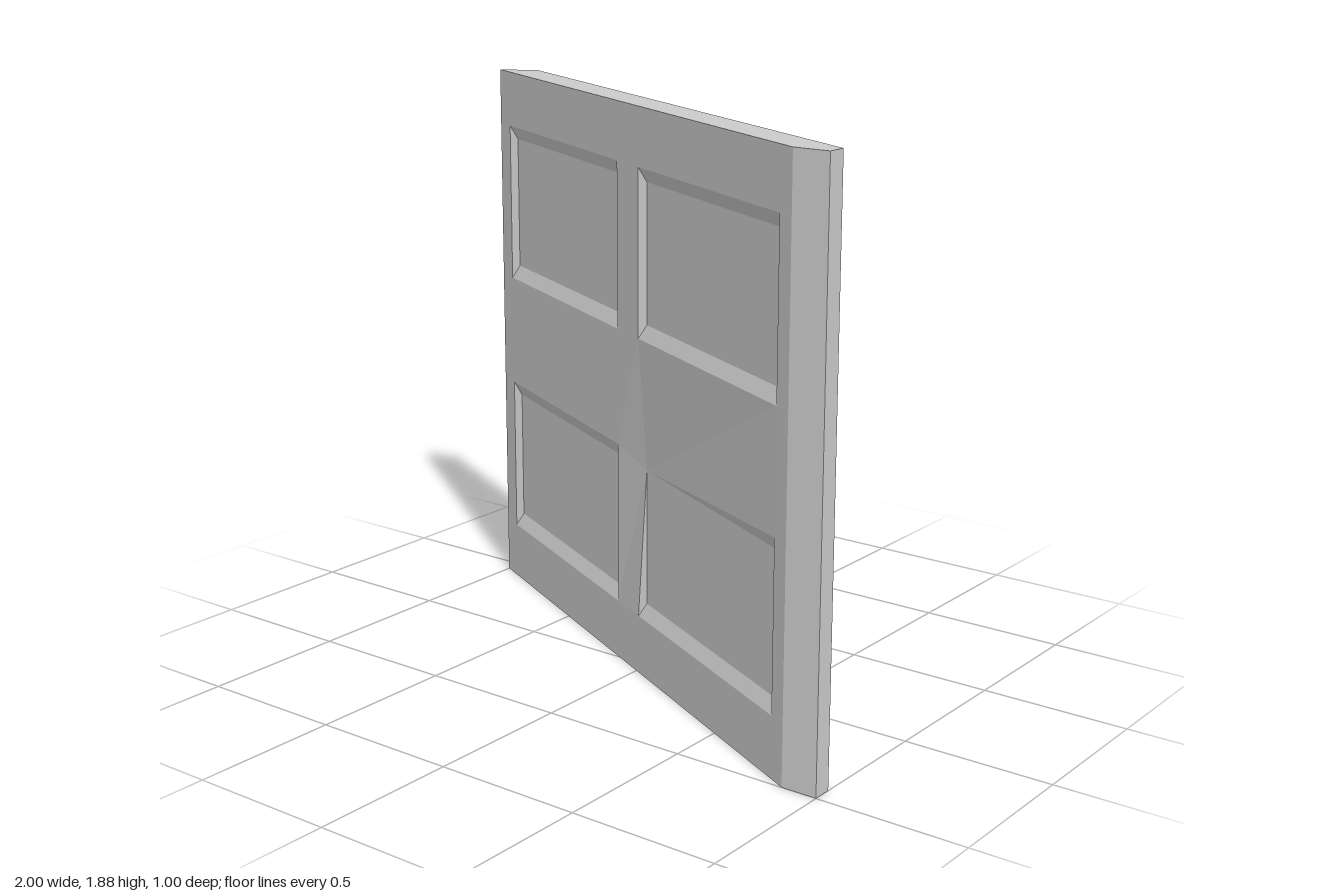
import * as THREE from 'three';

const HEIGHT = 1.88, DEPTH = 0.021, INSET_X = 0.018, INSET_Y = 0.046;
const YS = [0, 0.2, 0.75, 1.14, 1.69, HEIGHT];

// A point on the slanted front or back plane, sunk by d into the slab.
const frontPoint = (x, y, d = 0) => [x + 0.447 * d, y, 0.06 + 0.5 * x - 0.894 * d];
const backPoint = (x, y, d = 0) => [x - 0.447 * d, y, -0.065 + 0.5 * x + 0.894 * d];

// Flat-shaded mesh from a list of four-cornered faces.
function quadMesh(name, quads, flip = false) {
  const pos = [];
  for (const [a, b, c, d] of quads) {
    const tris = flip ? [a, c, b, a, d, c] : [a, b, c, a, c, d];
    for (const p of tris) pos.push(...p);
  }
  const geo = new THREE.BufferGeometry();
  geo.setAttribute('position', new THREE.Float32BufferAttribute(pos, 3));
  geo.computeVertexNormals();
  const mesh = new THREE.Mesh(geo, new THREE.MeshStandardMaterial({ color: 0xcccccc, flatShading: true }));
  mesh.name = name;
  return mesh;
}

// One side of the slab: a frame around four recessed panels.
// pinched pulls one panel corner down onto the corner of its recess.
function buildSide(name, point, xs, flip, pinched) {
  const group = new THREE.Group();
  group.name = name;
  const corner = (i, j) => pinched && i === 3 && j === 2
    ? point(xs[i] + INSET_X, YS[j] - INSET_Y, DEPTH)
    : point(xs[i], YS[j]);
  const frame = [];
  for (let i = 0; i < 5; i++) {
    for (let j = 0; j < 5; j++) {
      const outer = [corner(i, j), corner(i + 1, j), corner(i + 1, j + 1), corner(i, j + 1)];
      if (i % 2 === 0 || j % 2 === 0) {
        frame.push(outer);
        continue;
      }
      const x0 = xs[i] + INSET_X, x1 = xs[i + 1] - INSET_X;
      const y0 = YS[j] + INSET_Y, y1 = YS[j + 1] - INSET_Y;
      const inner = [[x0, y0], [x1, y0], [x1, y1], [x0, y1]].map(([x, y]) => point(x, y, DEPTH));
      const quads = [inner];
      for (let k = 0; k < 4; k++) {
        const n = (k + 1) % 4;
        quads.push([outer[k], outer[n], inner[n], inner[k]]);
      }
      group.add(quadMesh('recessedPanel', quads, flip));
    }
  }
  group.add(quadMesh('frame', frame, flip));
  return group;
}

export function createModel() {
  const model = new THREE.Group();
  model.name = 'panelledSlab';

  // Panelled faces
  model.add(buildSide('frontSide', frontPoint, [-1, -0.925, -0.125, 0.015, 0.82, 0.88], false, true));
  model.add(buildSide('backSide', backPoint, [-0.88, -0.802, -0.002, 0.138, 0.943, 1], true, false));

  // End faces: bevel on the right, squared corner on the left
  const wall = (a, b) => [[a[0], 0, a[1]], [b[0], 0, b[1]], [b[0], HEIGHT, b[1]], [a[0], HEIGHT, a[1]]];
  const plan = [[-1, -0.44], [0.88, 0.5], [1, 0.5], [1, 0.435], [-0.88, -0.505]];
  model.add(quadMesh('leftEnd', [wall(plan[1], plan[2]), wall(plan[2], plan[3])]));
  model.add(quadMesh('rightEnd', [wall(plan[4], plan[0])]));

  // Flat top and bottom
  const outline = new THREE.Shape(plan.map(([x, z]) => new THREE.Vector2(x, -z)));
  for (const [name, y] of [['topEdge', HEIGHT], ['bottomEdge', 0]]) {
    const geo = new THREE.ShapeGeometry(outline).rotateX(-Math.PI / 2);
    const cap = new THREE.Mesh(geo, new THREE.MeshStandardMaterial({ color: 0xcccccc, side: THREE.DoubleSide }));
    cap.name = name;
    cap.position.y = y;
    model.add(cap);
  }
  return model;
}
